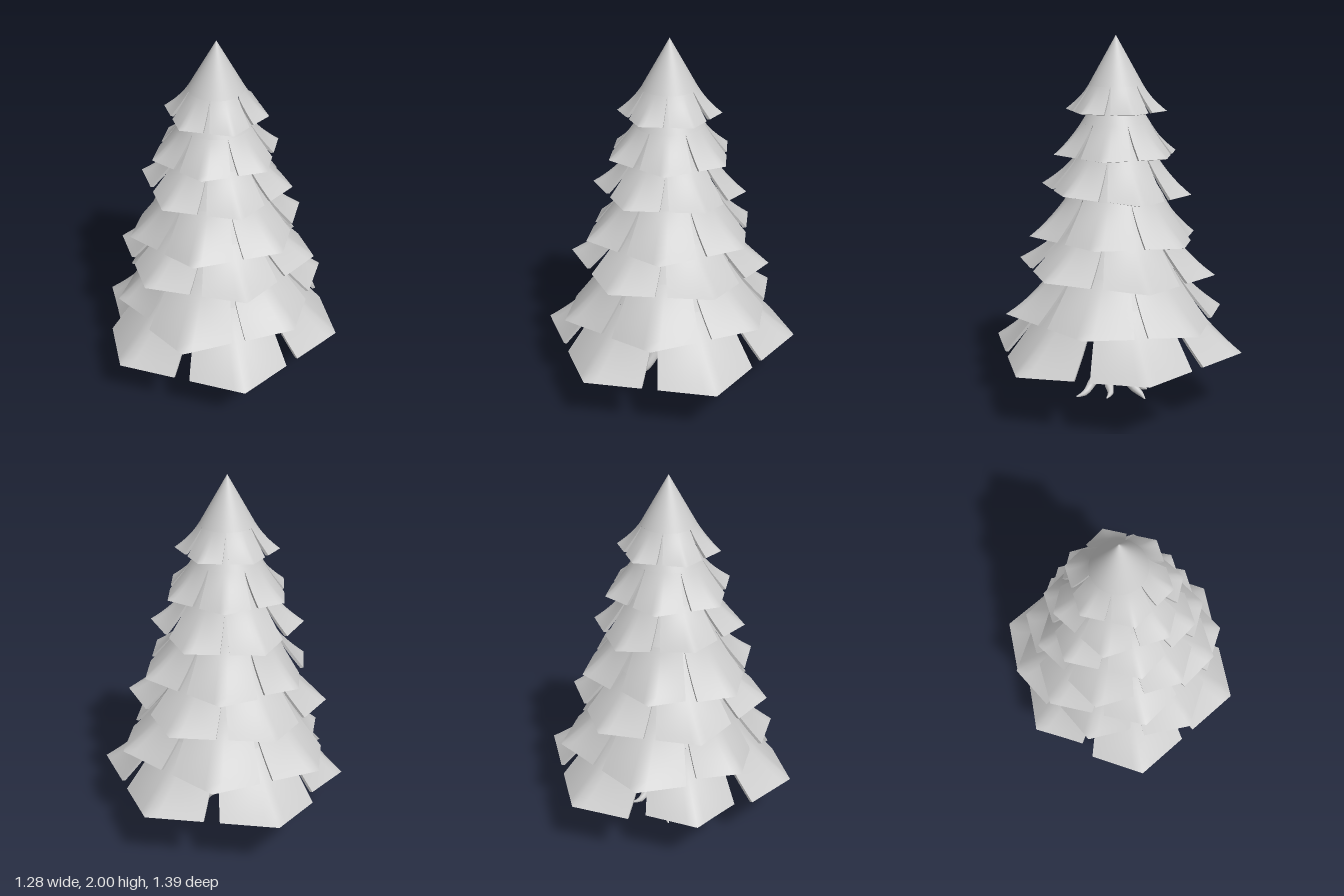
import * as THREE from 'three';
import { mergeGeometries } from 'three/addons/utils/BufferGeometryUtils.js';

const material = new THREE.MeshStandardMaterial({ color: 0xcccccc, side: THREE.DoubleSide });
const rad = THREE.MathUtils.degToRad;
const lerp = THREE.MathUtils.lerp;

// Bottom height, tip radius, slit height, rotation, the lift or droop of each of six flaps,
// and how much shorter single flaps are
const tiers = [
  { y: 0.31, R: 0.70, slit: 0.31, turn: 36.5, lift: [0, 0, 0, 0, 0.025, 0.025], trim: { 3: 0.055 } },
  { y: 0.537, R: 0.605, slit: 0.235, turn: 6, lift: [0, 0, -0.05, -0.05, -0.04, -0.03], trim: { 3: 0.05 } },
  { y: 0.782, R: 0.54, slit: 0.19, turn: 32, lift: [0, 0, 0, -0.04, -0.04, -0.03], trim: {} },
  { y: 0.962, R: 0.475, slit: 0.20, turn: 3, lift: [0, 0, 0, -0.045, -0.035, -0.02], trim: { 4: 0.025 } },
  { y: 1.206, R: 0.405, slit: 0.165, turn: 31, lift: [0, 0, 0, 0, -0.035, -0.035], trim: {} },
  { y: 1.4, R: 0.342, slit: 0.145, turn: 1, lift: [-0.015, -0.01, 0, -0.02, -0.02, -0.015], trim: {} },
  { y: 1.61, R: 0.27, slit: 0.13, turn: 31, lift: [0, 0, 0, 0, 0, 0], trim: {} },
];
const NECK = 0.53; // cone radius at the slit tops, as a share of the tip radius

// Grid surface from a function of u and v
function patch(f, nu, nv) {
  const pos = [], index = [];
  for (let j = 0; j <= nv; j++)
    for (let i = 0; i <= nu; i++) pos.push(...f(i / nu, j / nv));
  for (let j = 0; j < nv; j++)
    for (let i = 0; i < nu; i++) {
      const a = j * (nu + 1) + i, b = a + 1, c = a + nu + 1, d = c + 1;
      index.push(a, c, b, b, c, d);
    }
  const g = new THREE.BufferGeometry();
  g.setAttribute('position', new THREE.Float32BufferAttribute(pos, 3));
  g.setIndex(index);
  g.computeVertexNormals();
  return g;
}

// One thick flap: round at the neck, flaring to a hexagon corner at the hem
function flapGeometry({ y, R, slit, turn, lift, trim }, k) {
  const short = trim[k] ?? 0;
  const before = (lift[k] + lift[(k + 5) % 6]) / 2, after = (lift[k] + lift[(k + 1) % 6]) / 2;
  const point = (u, v, depth) => {
    const side = u * 2 - 1;
    const a = side * lerp(26, 29.2, v);
    const hex = Math.cos(rad(30)) / Math.cos(rad(30 - Math.abs(a)));
    const flare = 1 - (1 - NECK) * v - 0.17 * v * (1 - v);
    const thick = depth * (1 - v ** 4);
    const r = R * flare * lerp(1, hex, (1 - v) ** 1.4) - short * (1 - v) - 0.016 * thick;
    const drop = lerp(lift[k], side < 0 ? before : after, Math.abs(side));
    const t = rad(turn + 60 * k + a);
    return [r * Math.cos(t), y + 0.004 + slit * v + drop * (1 - v) - 0.004 * thick, r * Math.sin(t)];
  };
  return mergeGeometries([
    patch((u, v) => point(u, v, 0), 12, 8),
    patch((u, v) => point(1 - u, v, 1), 12, 8),
    patch((u, v) => point(u, 0, 1 - v), 12, 1),
    patch((u, v) => point(0, v, 1 - u), 1, 8),
    patch((u, v) => point(1, v, u), 1, 8),
  ]);
}

// Tube that narrows along its path
function taperedTube(points, radii) {
  const curve = new THREE.CatmullRomCurve3(points.map((p) => new THREE.Vector3(...p)));
  const rings = 48, sides = 10;
  const g = new THREE.TubeGeometry(curve, rings, 1, sides);
  const pos = g.attributes.position, p = new THREE.Vector3();
  for (let i = 0; i <= rings; i++) {
    const c = curve.getPointAt(i / rings);
    const s = curve.getUtoTmapping(i / rings) * (radii.length - 1);
    const k = Math.min(Math.floor(s), radii.length - 2);
    const r = lerp(radii[k], radii[k + 1], s - k);
    for (let j = 0; j <= sides; j++) {
      const n = i * (sides + 1) + j;
      p.fromBufferAttribute(pos, n).sub(c).multiplyScalar(r).add(c);
      pos.setXYZ(n, p.x, p.y, p.z);
    }
  }
  return g;
}

export function createModel() {
  const tree = new THREE.Group();
  tree.name = 'pineTree';
  const add = (parent, geometry, name) => {
    const mesh = new THREE.Mesh(geometry, material);
    mesh.name = name;
    parent.add(mesh);
    return mesh;
  };

  // Foliage tiers: a cone with six flaps around its foot
  tiers.forEach((tier, n) => {
    const group = new THREE.Group();
    group.name = `foliageTier${n + 1}`;
    const neckY = tier.y + 0.004 + tier.slit;
    const height = n === tiers.length - 1 ? 2 - neckY : tier.slit * 2;
    const cone = add(group, new THREE.ConeGeometry(tier.R * NECK, height, 72, 4, true), 'tierCone');
    cone.position.y = neckY + height / 2;
    tier.lift.forEach((_, k) => add(group, flapGeometry(tier, k), `flap${k + 1}`));
    tree.add(group);
  });

  // Trunk core
  const core = add(tree, new THREE.CylinderGeometry(0.05, 0.07, 0.93, 16), 'trunk');
  core.position.y = 0.665;

  // Trunk strands that spread into roots, given by their tips
  const tips = [
    [-0.245, 0.065, 0.02], [0.22, 0.09, 0.01], [-0.145, 0.008, 0.19],
    [0.115, 0.04, 0.2], [-0.13, 0.012, -0.155], [0.115, 0.055, -0.18],
  ];
  tips.forEach(([x, y, z], i) => {
    const len = Math.hypot(x, z), dx = x / len, dz = z / len;
    const bend = i % 2 ? 0.01 : -0.01;
    const at = (r, h, side = 0) => [dx * r - dz * side, h, dz * r + dx * side];
    const path = [
      at(0.05, 1.1), at(0.055, 0.6), at(0.057, 0.27), at(0.078, 0.19),
      at(len * 0.58, lerp(y, 0.19, 0.45), bend), at(len * 0.8, lerp(y, 0.19, 0.13), -bend), at(len, y),
    ];
    add(tree, taperedTube(path, [0.032, 0.037, 0.04, 0.035, 0.025, 0.016, 0.004]), `root${i + 1}`);
  });

  return tree;
}
